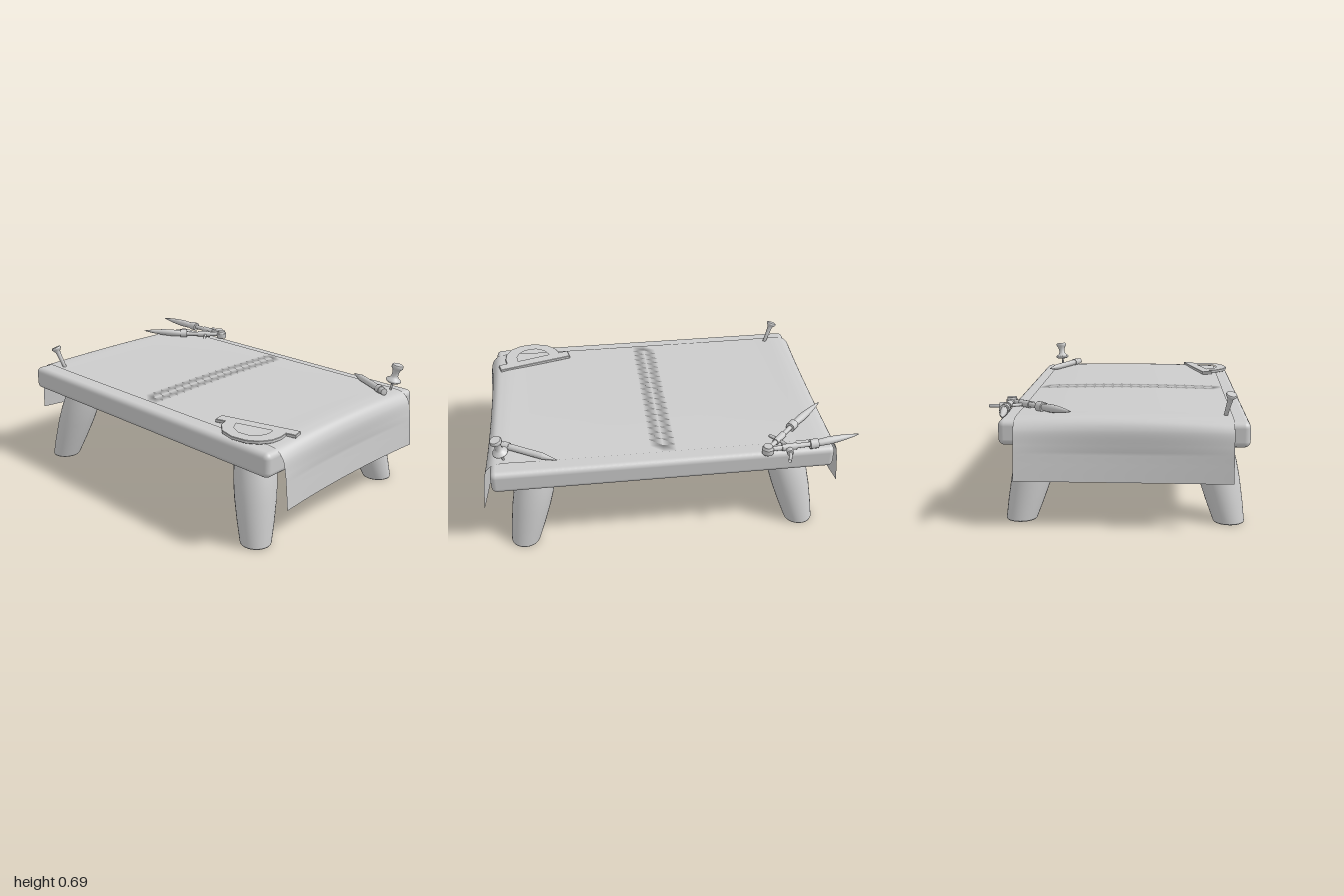
import * as THREE from 'three';
import { RoundedBoxGeometry } from 'three/addons/geometries/RoundedBoxGeometry.js';
import { ParametricGeometry } from 'three/addons/geometries/ParametricGeometry.js';

const CX = -0.047, CZ = 0.04; // centre of the table
const V = (x, y, z) => new THREE.Vector3(x, y, z);
const material = new THREE.MeshStandardMaterial({ color: 0xcccccc });
const thin = new THREE.MeshStandardMaterial({ color: 0xcccccc, side: THREE.DoubleSide });

function add(parent, name, geometry, mat = material) {
  const mesh = new THREE.Mesh(geometry, mat);
  mesh.name = name;
  parent.add(mesh);
  return mesh;
}

function addGroup(parent, name) {
  const group = new THREE.Group();
  group.name = name;
  parent.add(group);
  return group;
}

// Turned part whose axis runs from a to b; profile is [radius, fraction of length]
function turned(parent, name, a, b, profile, sides = 16) {
  const dir = b.clone().sub(a), len = dir.length();
  const pts = profile.map(([r, t]) => new THREE.Vector2(r, t * len));
  const mesh = add(parent, name, new THREE.LatheGeometry(pts, sides), thin);
  mesh.position.copy(a);
  mesh.quaternion.setFromUnitVectors(V(0, 1, 0), dir.normalize());
  return mesh;
}

const rod = (r) => [[0, 0], [r, 0], [r, 0], [r, 1], [r, 1], [0, 1]];

// Splayed, swelling leg: a turned profile sheared outwards towards the floor
function legGeometry(sx, sz) {
  const profile = [[0, 0], [0.076, 0], [0.078, 0.004], [0.078, 0.004], [0.092, 0.1], [0.104, 0.21],
    [0.108, 0.29], [0.106, 0.36], [0.1, 0.42]];
  const geo = new THREE.LatheGeometry(profile.map(([r, y]) => new THREE.Vector2(r, y)), 32);
  const p = geo.attributes.position;
  for (let i = 0; i < p.count; i++) {
    const t = p.getY(i) / 0.42;
    p.setX(i, p.getX(i) + CX + sx * (0.521 - 0.1 * t));
    p.setZ(i, p.getZ(i) + CZ + sz * (0.765 - 0.1 * t));
  }
  geo.computeVertexNormals();
  return geo;
}

// Sheet draped over both ends, its hanging flaps bowed in at the middle
function sheetGeometry() {
  const half = [[0, 0.536], [0.4, 0.536], [0.7, 0.537], [0.84, 0.538], [0.89, 0.528], [0.925, 0.49],
    [0.942, 0.42], [0.952, 0.33], [0.96, 0.245]];
  const pts = [...half.slice(1).reverse().map(([z, y]) => V(0, y, -z)), ...half.map(([z, y]) => V(0, y, z))];
  const curve = new THREE.CatmullRomCurve3(pts, false, 'centripetal');
  return new ParametricGeometry((u, v, out) => {
    const s = 2 * u - 1, bow = 1 - s * s;
    curve.getPoint(v, out);
    const drop = THREE.MathUtils.clamp((0.538 - out.y) / 0.15, 0, 1);
    out.z += CZ - Math.sign(out.z) * 0.032 * bow * drop;
    out.y += bow * (0.009 - 0.018 * drop);
    out.x = CX + s * 0.5275;
  }, 20, 96);
}

// Flat half-round protractor with a D-shaped window, drawn in (x, z)
function protractorGeometry() {
  const to2D = ([x, z]) => new THREE.Vector2(x, -z);
  const shape = new THREE.Shape([[-0.485, 0.495], [-0.375, 0.905], [-0.43, 0.92], [-0.443, 0.872],
    [-0.49, 0.882], [-0.545, 0.877], [-0.6, 0.845], [-0.635, 0.79], [-0.647, 0.71], [-0.625, 0.63],
    [-0.575, 0.577], [-0.53, 0.56], [-0.545, 0.51]].map(to2D));
  shape.holes.push(new THREE.Path([[-0.513, 0.617], [-0.458, 0.808], [-0.505, 0.815], [-0.545, 0.803],
    [-0.58, 0.765], [-0.59, 0.7], [-0.563, 0.645]].map(to2D)));
  const geo = new THREE.ExtrudeGeometry(shape, { depth: 0.013, bevelEnabled: true, bevelSize: 0.002,
    bevelThickness: 0.002, bevelOffset: -0.002, bevelSegments: 1 });
  return geo.rotateX(-Math.PI / 2).translate(0, 0.541, 0);
}

// One arm of the drawing compass: rod, collar and a slightly bent blade
function compassArm(parent, name, hinge, knee, tip) {
  const arm = addGroup(parent, name);
  const at = (t) => hinge.clone().lerp(knee, t);
  turned(arm, 'armRod', hinge, knee, rod(0.013), 12);
  turned(arm, 'armSleeve', at(0.3), at(0.62), rod(0.018), 12);
  const dir = knee.clone().sub(hinge).normalize();
  turned(arm, 'collar', knee.clone().addScaledVector(dir, -0.025), knee.clone().addScaledVector(dir, 0.018),
    rod(0.026), 12);
  turned(arm, 'blade', knee, tip, [[0.014, 0], [0.019, 0.12], [0.021, 0.3], [0.019, 0.5], [0.013, 0.72],
    [0.006, 0.9], [0, 1]], 12);
}

export function createModel() {
  const model = new THREE.Group();
  model.name = 'drawingTable';

  // Board, legs and sheet
  add(model, 'board', new RoundedBoxGeometry(1.214, 0.125, 1.8, 4, 0.03)).position.set(CX, 0.468, CZ);
  for (const sx of [-1, 1]) for (const sz of [-1, 1]) {
    add(model, `${sz > 0 ? 'front' : 'back'}${sx > 0 ? 'Left' : 'Right'}Leg`, legGeometry(sx, sz), thin);
  }
  add(model, 'sheet', sheetGeometry(), thin);
  add(model, 'protractor', protractorGeometry());

  // Pencil with a ferrule and a sharpened tip
  const pencil = addGroup(model, 'pencil');
  const end = V(0.338, 0.561, 0.9), tip = V(0.502, 0.552, 0.595);
  turned(pencil, 'pencilBody', end, tip, [[0, 0], [0.018, 0], [0.019, 0.01], [0.019, 0.1], [0.019, 0.1],
    [0.022, 0.1], [0.022, 0.1], [0.022, 0.2], [0.022, 0.2], [0.018, 0.2], [0.018, 0.2], [0.018, 0.76],
    [0.018, 0.76], [0.003, 0.99], [0, 1]], 12);

  // Large push pin
  turned(model, 'largePushPin', V(0.446, 0.53, 0.868), V(0.463, 0.682, 0.895), [[0, 0], [0.006, 0.06],
    [0.006, 0.32], [0.006, 0.32], [0.03, 0.34], [0.041, 0.4], [0.04, 0.45], [0.024, 0.52], [0.018, 0.6],
    [0.018, 0.72], [0.023, 0.83], [0.031, 0.88], [0.032, 0.96], [0.028, 1], [0.028, 1], [0, 1]], 24);

  // Small leaning pin
  turned(model, 'smallPin', V(-0.539, 0.53, -0.722), V(-0.564, 0.652, -0.768), [[0, 0], [0.01, 0.03],
    [0.012, 0.55], [0.014, 0.78], [0.022, 0.87], [0.028, 0.92], [0.028, 0.96], [0.025, 1], [0.025, 1],
    [0, 1]], 20);

  // Drawing compass: hinge, two arms and the curved spacing bar
  const compass = addGroup(model, 'compass');
  const hinge = V(0.55, 0.553, -0.495);
  turned(compass, 'hinge', V(0.55, 0.53, -0.495), V(0.55, 0.576, -0.495), [[0, 0], [0.028, 0], [0.031, 0.1],
    [0.031, 0.7], [0.031, 0.7], [0.024, 0.72], [0.024, 1], [0.024, 1], [0, 1]], 20);
  compassArm(compass, 'sideArm', hinge, V(0.542, 0.562, -0.745), V(0.508, 0.576, -1.0));
  compassArm(compass, 'innerArm', hinge, V(0.37, 0.56, -0.67), V(0.2, 0.577, -0.865));
  const bar = new THREE.CatmullRomCurve3([V(0.43, 0.55, -0.532), V(0.475, 0.552, -0.568),
    V(0.54, 0.552, -0.606), V(0.6, 0.549, -0.604), V(0.65, 0.546, -0.588)]);
  add(compass, 'spacingBar', new THREE.TubeGeometry(bar, 20, 0.009, 8), thin);
  turned(compass, 'barNut', V(0.565, 0.552, -0.606), V(0.592, 0.551, -0.605), rod(0.018), 12);

  return model;
}
